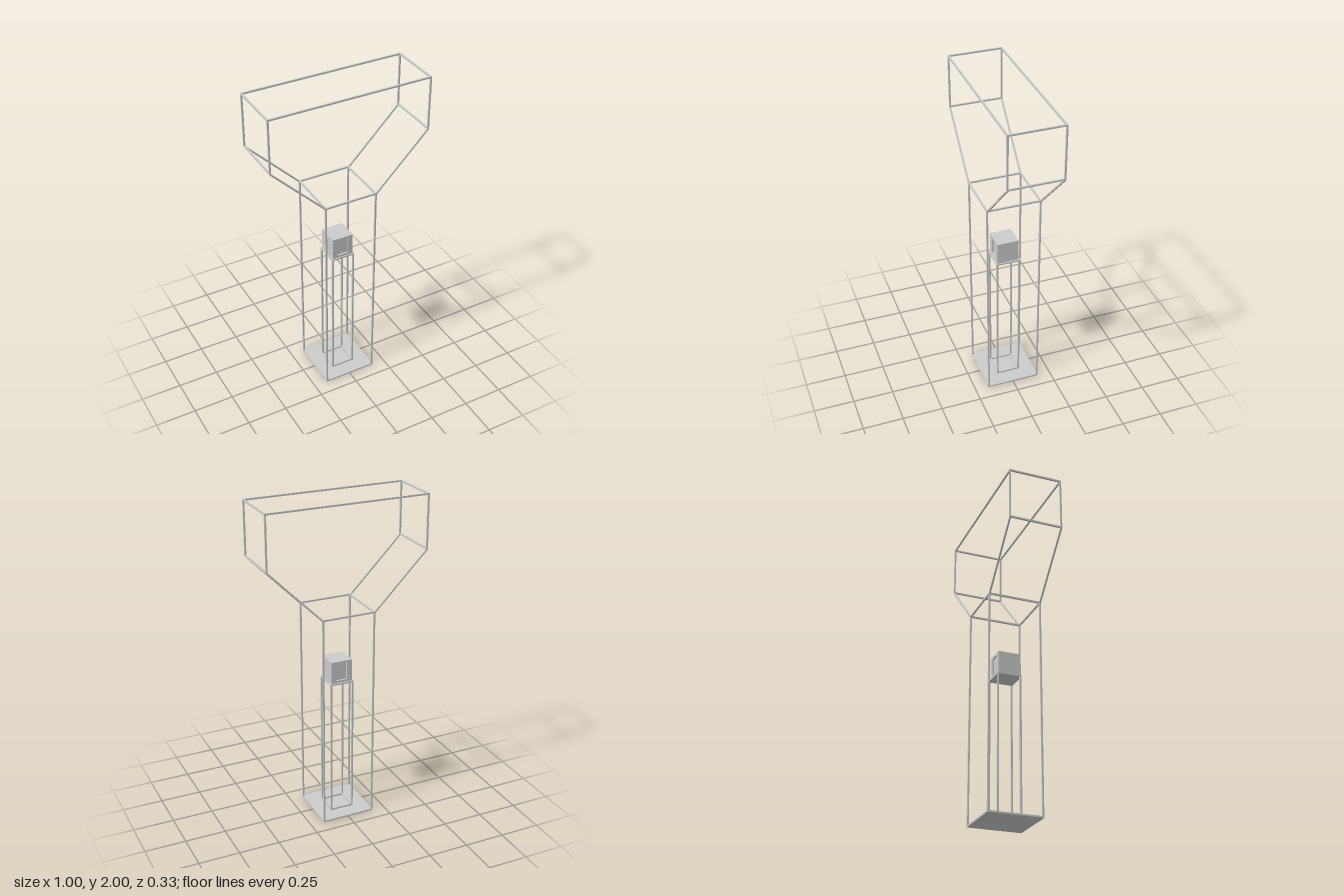
import * as THREE from 'three';

const T = 0.01; // bar thickness
const material = new THREE.MeshStandardMaterial({ color: 0xcccccc, flatShading: true });

export function createModel() {
  const model = new THREE.Group();

  function group(name) {
    const g = new THREE.Group();
    g.name = name;
    model.add(g);
    return g;
  }

  // Box given by its minimum and maximum corners
  function box(parent, name, [x0, y0, z0], [x1, y1, z1]) {
    const mesh = new THREE.Mesh(new THREE.BoxGeometry(x1 - x0, y1 - y0, z1 - z0), material);
    mesh.position.set((x0 + x1) / 2, (y0 + y1) / 2, (z0 + z1) / 2);
    mesh.name = name;
    parent.add(mesh);
  }

  // Horizontal rectangular ring of bars with outer half sizes w and d
  function ring(parent, name, w, d, y, longBars = true) {
    for (const s of [-1, 1]) {
      const x = s * (w - T / 2), z = s * (d - T / 2);
      box(parent, name, [x - T / 2, y, -d], [x + T / 2, y + T, d]);
      if (longBars) box(parent, name, [-w + T, y, z - T / 2], [w - T, y + T, z + T / 2]);
    }
  }

  // Four upright corner bars
  function posts(parent, name, w, d, y0, y1) {
    for (const sx of [-1, 1]) for (const sz of [-1, 1]) {
      const x = sx * (w - T / 2), z = sz * (d - T / 2);
      box(parent, name, [x - T / 2, y0, z - T / 2], [x + T / 2, y1, z + T / 2]);
    }
  }

  const W = 0.167, HEAD = 0.5, NECK = 1.33, SHOULDER = 1.667;

  // Outer shaft: floor plate, posts and the ring at the neck
  const shaft = group('shaftFrame');
  box(shaft, 'floorPlate', [-W, 0, -W], [W, T, W]);
  posts(shaft, 'shaftPost', W, W, T, NECK);
  ring(shaft, 'neckRing', W, W, NECK);

  // Head: wide open box, without long bars along its lower edge
  const head = group('headFrame');
  ring(head, 'headLowerBar', HEAD, W, SHOULDER, false);
  posts(head, 'headPost', HEAD, W, SHOULDER + T, 2 - T);
  ring(head, 'headTopRing', HEAD, W, 2 - T);

  // Sloping bars between neck and head
  const slope = new THREE.Shape([
    new THREE.Vector2(W, NECK), new THREE.Vector2(HEAD, SHOULDER),
    new THREE.Vector2(HEAD, SHOULDER + 0.013), new THREE.Vector2(W, NECK + 0.013),
  ]);
  const slopeGeometry = new THREE.ExtrudeGeometry(slope, { depth: T, bevelEnabled: false });
  slopeGeometry.translate(0, 0, -T / 2);
  for (const turn of [0, Math.PI]) for (const s of [-1, 1]) {
    const bar = new THREE.Mesh(slopeGeometry, material);
    bar.name = 'slopingBar';
    bar.rotation.y = turn;
    bar.position.z = s * (W - T / 2);
    head.add(bar);
  }

  // Inner pedestal
  const P = 0.075, TOP = 0.88;
  const pedestal = group('pedestalFrame');
  ring(pedestal, 'pedestalBaseRing', P, P, T);
  posts(pedestal, 'pedestalPost', P, P, 2 * T, TOP - T);
  box(pedestal, 'pedestalCap', [-P, TOP - T, -P], [P, TOP, P]);

  // Cube with a recessed window in front and back
  const C = 0.067, CUBE_TOP = 1.017;
  const cube = group('lampCube');
  box(cube, 'cubeCore', [-C, TOP, -C + T], [C, CUBE_TOP, C - T]);
  const face = new THREE.Shape([
    new THREE.Vector2(-C, TOP), new THREE.Vector2(C, TOP),
    new THREE.Vector2(C, CUBE_TOP), new THREE.Vector2(-C, CUBE_TOP),
  ]);
  const wx = 0.034, wy0 = 0.895, wy1 = 1.002;
  face.holes.push(new THREE.Path([
    new THREE.Vector2(-wx, wy0), new THREE.Vector2(-wx, wy1),
    new THREE.Vector2(wx, wy1), new THREE.Vector2(wx, wy0),
  ]));
  const faceGeometry = new THREE.ExtrudeGeometry(face, { depth: T, bevelEnabled: false });
  for (const z of [-C, C - T]) {
    const mesh = new THREE.Mesh(faceGeometry, material);
    mesh.name = 'windowSurround';
    mesh.position.z = z;
    cube.add(mesh);
  }

  return model;
}
